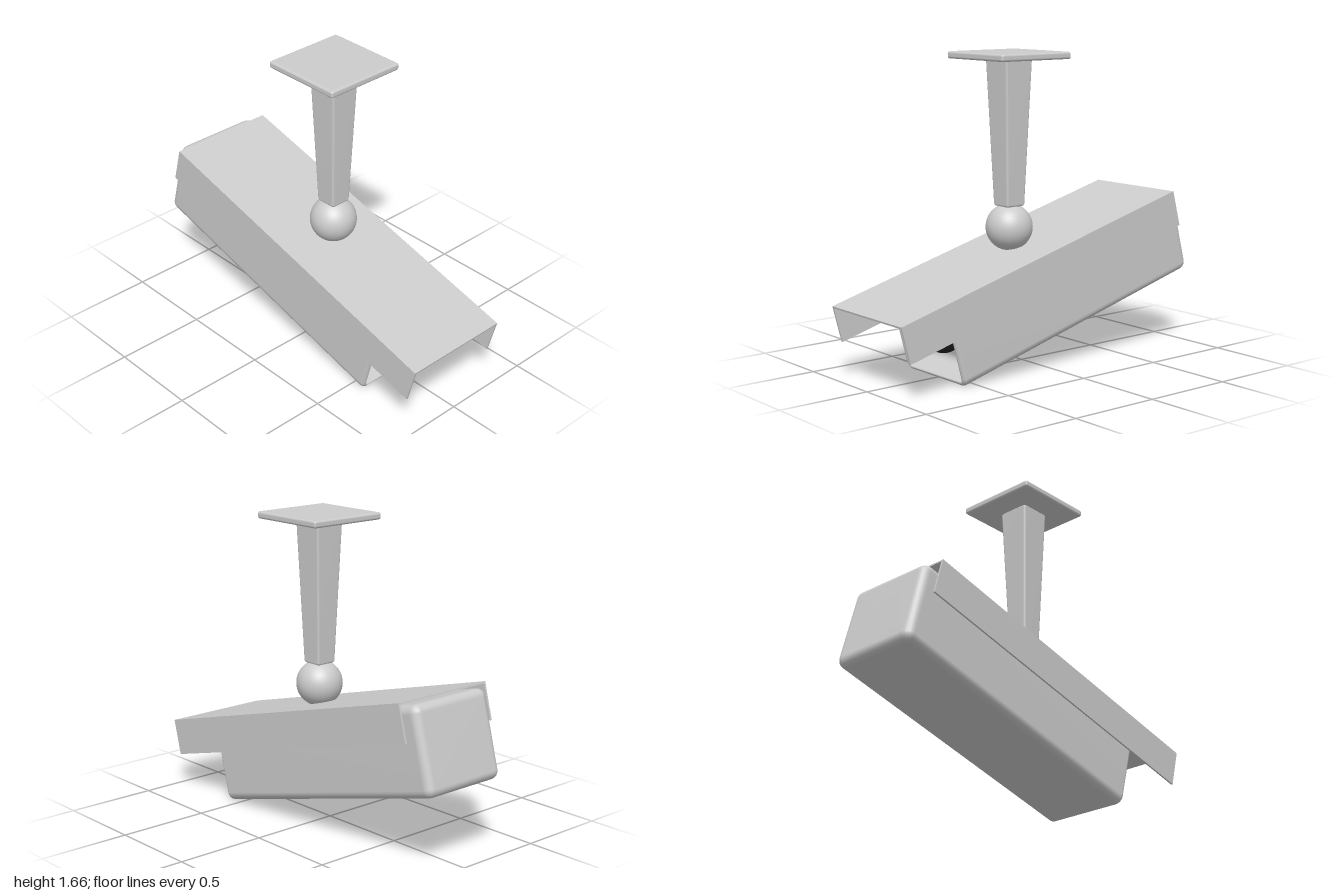
import * as THREE from 'three';
import { RoundedBoxGeometry } from 'three/addons/geometries/RoundedBoxGeometry.js';

const CORNER = 5; // segments per rounded corner

// Skin a series of rounded rectangles { w, h, r, z } (half sizes) along z, capped at both ends
function loft(rings) {
  const pos = [], idx = [], n = 4 * (CORNER + 1);
  for (const { w, h, r, z } of rings) {
    for (let c = 0; c < 4; c++) {
      const sx = c === 0 || c === 3 ? 1 : -1, sy = c < 2 ? 1 : -1;
      for (let k = 0; k <= CORNER; k++) {
        const a = (c + k / CORNER) * Math.PI / 2;
        pos.push(sx * (w - r) + r * Math.cos(a), sy * (h - r) + r * Math.sin(a), z);
      }
    }
  }
  const last = rings.length - 1;
  for (let i = 0; i < last; i++) {
    for (let j = 0; j < n; j++) {
      const a = i * n + j, b = i * n + (j + 1) % n;
      idx.push(a, b, b + n, a, b + n, a + n);
    }
  }
  const c0 = pos.length / 3;
  pos.push(0, 0, rings[0].z, 0, 0, rings[last].z);
  for (let j = 0; j < n; j++) {
    const k = (j + 1) % n;
    idx.push(c0, k, j, c0 + 1, last * n + j, last * n + k);
  }
  const g = new THREE.BufferGeometry();
  g.setAttribute('position', new THREE.Float32BufferAttribute(pos, 3));
  g.setIndex(idx);
  g.computeVertexNormals();
  return g;
}

// Camera case: rounded back, softened rim, hollow front with a filleted back wall
function caseGeometry() {
  const W = 0.255, H = 0.232, R = 0.045, back = -1.085, front = 0.555, rings = [];
  const ring = (inset, z) => rings.push({ w: W - inset, h: H - inset, r: Math.max(R - inset, 0.008), z });
  const arc = (radius, fn) => {
    for (let i = 0; i <= 5; i++) {
      const a = i / 5 * Math.PI / 2;
      fn(radius * (1 - Math.sin(a)), radius * (1 - Math.cos(a)));
    }
  };
  arc(R, (inset, dz) => ring(inset, back + dz));
  arc(0.022, (dz, inset) => ring(inset, front - dz));
  ring(0.025, front - 0.004);
  ring(0.026, 0.44);
  arc(0.04, (dz, inset) => ring(0.026 + inset, 0.4 + dz));
  return loft(rings);
}

// Tapered square arm with softened edges, standing along y
function armGeometry(y0, y1, half0, half1) {
  const e = 0.012;
  const ring = (half, z) => ({ w: half, h: half, r: e, z });
  return loft([
    ring(half0 - e, y0), ring(half0 - e * 0.3, y0 + e * 0.3), ring(half0, y0 + e),
    ring(half1, y1 - e), ring(half1 - e * 0.3, y1 - e * 0.3), ring(half1 - e, y1),
  ]).rotateX(-Math.PI / 2);
}

// Sun hood: thin channel open at the bottom and both ends
function hoodGeometry() {
  const w = 0.305, t = 0.01, top = 0.63, low = 0.43;
  const s = new THREE.Shape([
    [-w, low], [-w + t, low], [-w + t, top - t], [w - t, top - t],
    [w - t, low], [w, low], [w, top], [-w, top],
  ].map(([x, y]) => new THREE.Vector2(x, y)));
  return new THREE.ExtrudeGeometry(s, { depth: 1.895, bevelEnabled: false }).translate(0, 0, -1.029);
}

export function createModel() {
  const housing = new THREE.MeshStandardMaterial({ color: 0xcccccc });
  housing.name = 'light grey housing';
  const glass = new THREE.MeshStandardMaterial({ color: 0x222222 });
  glass.name = 'black glass';

  const add = (parent, name, geometry, material, x = 0, y = 0, z = 0) => {
    const m = new THREE.Mesh(geometry, material);
    m.name = name;
    m.position.set(x, y, z);
    parent.add(m);
    return m;
  };

  const model = new THREE.Group();
  model.name = 'securityCamera';

  // Camera head, tilted nose down
  const head = new THREE.Group();
  head.name = 'cameraHead';
  head.rotation.x = THREE.MathUtils.degToRad(15);
  model.add(head);
  add(head, 'cameraCase', caseGeometry(), housing, 0, 0.377, 0);
  add(head, 'sunHood', hoodGeometry(), housing);
  add(head, 'lens', new THREE.SphereGeometry(0.106, 32, 20), glass, 0, 0.358, 0.445);

  // Ceiling mount
  const mount = new THREE.Group();
  mount.name = 'ceilingMount';
  mount.position.z = 0.086;
  model.add(mount);
  add(mount, 'ballJoint', new THREE.SphereGeometry(0.125, 40, 24), housing, 0, 0.737, 0);
  add(mount, 'mountArm', armGeometry(0.848, 1.627, 0.06, 0.088), housing);
  add(mount, 'ceilingPlate', new RoundedBoxGeometry(0.46, 0.038, 0.46, 3, 0.012), housing, 0, 1.64, 0);

  return model;
}
